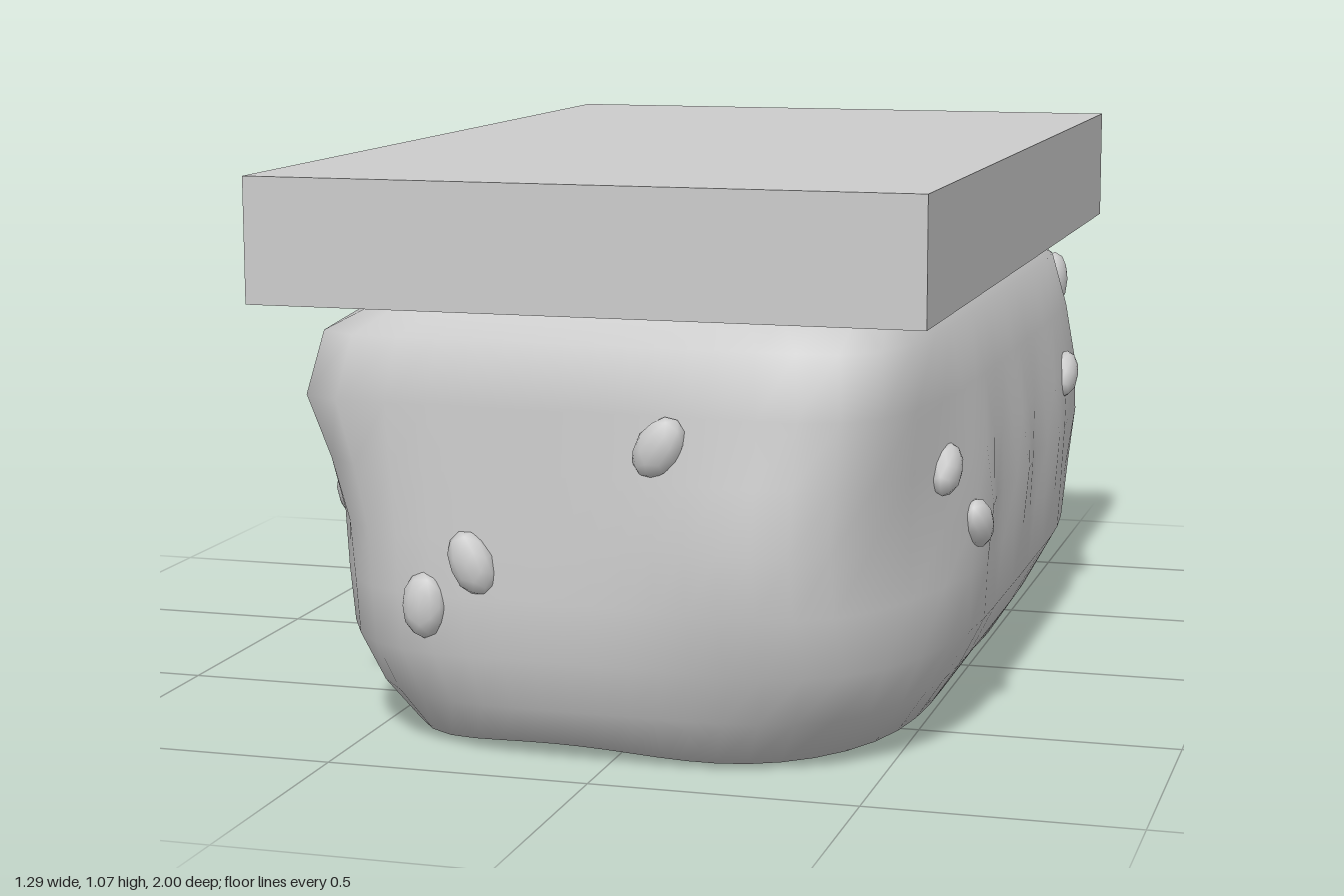
import * as THREE from 'three';

const grey = () => new THREE.MeshStandardMaterial({ color: 0xcccccc });

// Height, -x, +x, -z, +z extents and squareness of each rock cross-section
const ROWS = [
  [0.018, -0.25, 0.25, -0.45, 0.47, 3],
  [0.018, -0.52, 0.50, -0.81, 0.86, 3.6],
  [0.10, -0.565, 0.555, -0.87, 0.90, 4.4],
  [0.20, -0.61, 0.605, -0.92, 0.935, 5],
  [0.31, -0.62, 0.60, -0.925, 0.935, 6],
  [0.42, -0.62, 0.598, -0.925, 0.93, 7],
  [0.54, -0.615, 0.595, -0.92, 0.925, 8],
  [0.66, -0.605, 0.58, -0.91, 0.92, 9],
  [0.78, -0.575, 0.555, -0.87, 0.915, 9],
  [0.83, -0.51, 0.49, -0.80, 0.85, 7],
  [0.86, -0.45, 0.44, -0.75, 0.79, 6],
];
const SEGMENTS = 64;

// Lumps and dents: centre x, y, z, shift in x and z, radius
const LUMPS = [
  [-0.25, 0.42, -0.93, 0, -0.075, 0.18],
  [-0.63, 0.42, -0.33, -0.035, 0, 0.20],
  [-0.62, 0.42, 0.20, -0.02, 0, 0.16],
  [0.60, 0.42, -0.40, 0.022, 0, 0.15],
  [0.60, 0.42, 0.00, 0.022, 0, 0.13],
  [0.60, 0.42, 0.42, 0.025, 0, 0.13],
  [0.58, 0.42, -0.82, 0.02, -0.025, 0.18],
  [0.58, 0.45, 0.85, -0.06, 0, 0.27],
  [-0.60, 0.38, 0.88, 0.055, 0, 0.22],
  [-0.58, 0.69, 0.90, -0.04, 0.02, 0.13],
  [0.30, 0.42, 0.93, 0, 0.048, 0.20],
];

// Lofted boulder
function rockGeometry() {
  const pos = [], index = [];
  ROWS.forEach(([y, x0, x1, z0, z1, n], row) => {
    for (let j = 0; j < SEGMENTS; j++) {
      const t = (j / SEGMENTS) * Math.PI * 2;
      const c = Math.cos(t), s = Math.sin(t);
      const r = Math.pow(Math.abs(c) ** n + Math.abs(s) ** n, -1 / n);
      const x = (x0 + x1) / 2 + (r * c * (x1 - x0)) / 2;
      const z = (z0 + z1) / 2 + (r * s * (z1 - z0)) / 2;
      let dx = 0, dz = 0;
      for (const [cx, cy, cz, sx, sz, w] of LUMPS) {
        const f = Math.exp(-((x - cx) ** 2 + (y - cy) ** 2 + (z - cz) ** 2) / (w * w));
        dx += sx * f;
        dz += sz * f;
      }
      // Uneven underside, lowest towards the front
      const low = 0.018 * Math.exp(-(x * x + (z - 0.47) ** 2) / 0.02);
      const wave = row < 2 ? 0.008 * Math.sin(9 * x + 7 * z + 2.9) - low : 0;
      pos.push(x + dx, Math.max(0, y + wave), z + dz);
    }
  });
  const ring = (i, j) => i * SEGMENTS + (j % SEGMENTS);
  for (let i = 0; i < ROWS.length - 1; i++) {
    for (let j = 0; j < SEGMENTS; j++) {
      const a = ring(i, j), b = ring(i, j + 1), c = ring(i + 1, j), d = ring(i + 1, j + 1);
      index.push(a, c, b, b, c, d);
    }
  }
  // Bottom and top caps
  const bottom = pos.length / 3, top = bottom + 1, last = ROWS.length - 1;
  pos.push(0, 0.018, 0, 0, 0.86, 0);
  for (let j = 0; j < SEGMENTS; j++) {
    index.push(bottom, ring(0, j), ring(0, j + 1));
    index.push(top, ring(last, j + 1), ring(last, j));
  }
  const g = new THREE.BufferGeometry();
  g.setAttribute('position', new THREE.Float32BufferAttribute(pos, 3));
  g.setIndex(index);
  g.computeVertexNormals();
  return g;
}

// Pebbles per side: horizontal coordinate, height, roll
const PEBBLES = {
  front: [[-0.335, 0.29, 0], [-0.24, 0.375, 0.4], [0.115, 0.605, -0.6], [0.19, 0.85, 0]],
  back: [[0.21, 0.42, 0.35], [0.30, 0.30, -0.2], [-0.295, 0.605, 0.4], [-0.38, 0.50, -0.5], [-0.245, 0.19, -0.2]],
  left: [[0.61, 0.53, -1.1], [0.48, 0.405, 0.9], [-0.55, 0.53, -1.0], [-0.83, 0.705, 0]],
  right: [[-0.58, 0.765, -0.4], [-0.50, 0.575, -0.9], [0.50, 0.51, -0.9], [0.605, 0.43, -0.5]],
};
const FACING = {
  front: [0, 0, 1], back: [0, 0, -1], left: [1, 0, 0], right: [-1, 0, 0],
};

export function createModel() {
  const model = new THREE.Group();
  model.name = 'slabOnBoulder';

  const slab = new THREE.Mesh(new THREE.BoxGeometry(1.25, 0.232, 1.975), grey());
  slab.name = 'topSlab';
  slab.position.set(-0.015, 0.958, 0.0125);
  model.add(slab);

  const rock = new THREE.Mesh(rockGeometry(), grey());
  rock.name = 'boulder';
  rock.updateMatrixWorld();
  model.add(rock);

  // Seat each pebble on the rock face it belongs to
  const pebbles = new THREE.Group();
  pebbles.name = 'pebbles';
  const pebbleGeometry = new THREE.IcosahedronGeometry(1, 1);
  pebbleGeometry.scale(0.042, 0.062, 0.03);
  const ray = new THREE.Raycaster();
  for (const [side, list] of Object.entries(PEBBLES)) {
    const out = new THREE.Vector3(...FACING[side]);
    for (const [h, y, roll] of list) {
      const origin = out.clone().multiplyScalar(3);
      if (out.x) origin.z = h;
      else origin.x = h;
      origin.y = y;
      ray.set(origin, out.clone().negate());
      const hit = ray.intersectObject(rock)[0];
      const pebble = new THREE.Mesh(pebbleGeometry, grey());
      pebble.name = side + 'Pebble';
      pebble.position.copy(hit.point);
      pebble.rotation.set(0, Math.atan2(out.x, out.z), roll, 'YXZ');
      pebbles.add(pebble);
    }
  }
  model.add(pebbles);
  return model;
}
